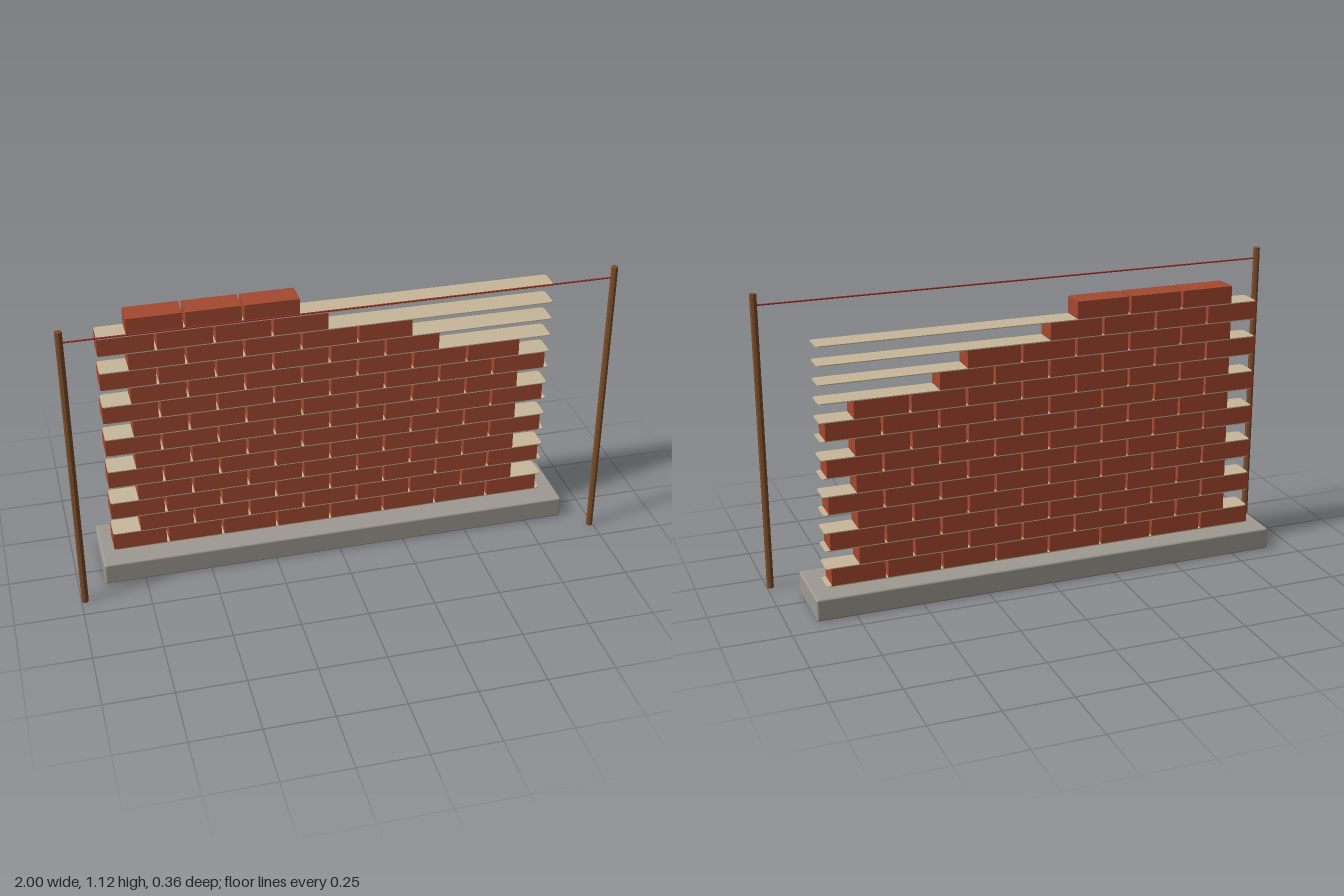
import * as THREE from 'three';
import { RoundedBoxGeometry } from 'three/addons/geometries/RoundedBoxGeometry.js';

const mat = (name, color, extra = {}) => {
  const m = new THREE.MeshStandardMaterial({ color, ...extra });
  m.name = name;
  return m;
};

export function createModel() {
  const brick = mat('brick red', 0xa5492f);
  const mortar = mat('sand mortar', 0xc8b89a);
  const concrete = mat('concrete grey', 0x9e9a92);
  const wood = mat('stake wood', 0x7d4e2a, { flatShading: true });
  const twine = mat('red twine', 0xa02c24);

  const model = new THREE.Group();
  model.name = 'unfinishedBrickWall';
  const add = (name, geometry, material, x, y, z, parent = model) => {
    const mesh = new THREE.Mesh(geometry, material);
    mesh.name = name;
    mesh.position.set(x, y, z);
    parent.add(mesh);
    return mesh;
  };

  // Concrete footing with softened edges
  const wallZ = -0.044;
  add('footing', new RoundedBoxGeometry(1.795, 0.085, 0.271, 2, 0.008), concrete, -0.003, 0.0425, wallZ);

  // Running-bond courses, stepping down to the right at the top
  const base = 0.089, rise = 0.0687, height = 0.065, depth = 0.093;
  const pitch = 0.2095, length = 0.1995;
  const counts = [8, 7, 8, 7, 8, 7, 8, 7, 8, 7, 6, 5, 4, 3];
  const brickGeo = new THREE.BoxGeometry(length, height, depth);

  // Mortar bed: thin strip with clipped corners, running the full wall length
  const bedGap = rise - height;
  const hx = 0.842, hz = depth / 2, c = 0.008;
  const outline = new THREE.Shape([
    [-hx + c, -hz], [hx - c, -hz], [hx, -hz + c], [hx, hz - c],
    [hx - c, hz], [-hx + c, hz], [-hx, hz - c], [-hx, -hz + c],
  ].map(([x, y]) => new THREE.Vector2(x, y)));
  const bedGeo = new THREE.ExtrudeGeometry(outline, { depth: bedGap, bevelEnabled: false });
  bedGeo.rotateX(-Math.PI / 2);

  counts.forEach((count, row) => {
    const course = new THREE.Group();
    course.name = `course${row + 1}`;
    model.add(course);
    const y = base + row * rise;
    const start = row % 2 ? -0.746 : -0.851;
    add('mortarBed', bedGeo, mortar, -0.008, y - bedGap, wallZ, course);
    for (let i = 0; i < count; i++) {
      add('brick', brickGeo, brick, start + length / 2 + i * pitch, y + height / 2, wallZ, course);
    }
  });

  // Guide stakes and the string line stretched between them
  const lineZ = 0.17, stakeX = 0.987, stakeHeight = 1.118;
  const stakeGeo = new THREE.CylinderGeometry(0.013, 0.013, stakeHeight, 8);
  add('leftStake', stakeGeo, wood, stakeX, stakeHeight / 2, lineZ);
  add('rightStake', stakeGeo, wood, -stakeX, stakeHeight / 2, lineZ);
  const line = add('stringLine', new THREE.CylinderGeometry(0.003, 0.003, stakeX * 2, 6), twine, 0, 1.076, lineZ);
  line.rotation.z = Math.PI / 2;

  return model;
}
